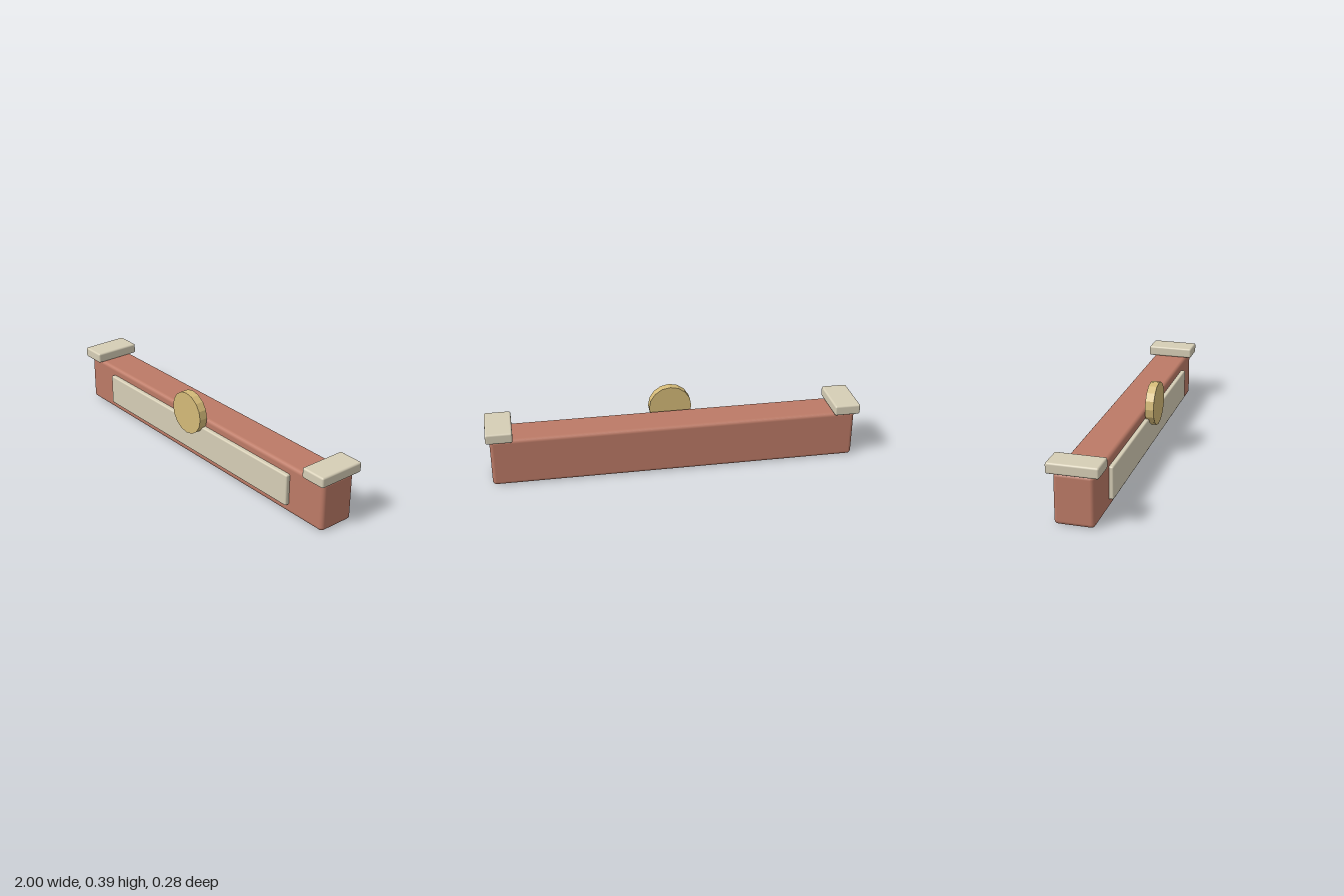
import * as THREE from 'three';
import { RoundedBoxGeometry } from 'three/addons/geometries/RoundedBoxGeometry.js';

const terracotta = new THREE.MeshStandardMaterial({ color: 0xbc7a66 });
const cream = new THREE.MeshStandardMaterial({ color: 0xd6ceb6 });
const gold = new THREE.MeshStandardMaterial({ color: 0xd4ba78, flatShading: true });

// Rounded box given by its [min, max] extent on each axis
function block(name, [x0, x1], [y0, y1], [z0, z1], radius, material) {
  const geometry = new RoundedBoxGeometry(x1 - x0, y1 - y0, z1 - z0, 2, radius);
  const mesh = new THREE.Mesh(geometry, material);
  mesh.name = name;
  mesh.position.set((x0 + x1) / 2, (y0 + y1) / 2, (z0 + z1) / 2);
  return mesh;
}

export function createModel() {
  const model = new THREE.Group();
  model.name = 'lintel';

  // Long main beam
  model.add(block('beam', [-0.98, 0.98], [0.003, 0.265], [-0.11, 0.09], 0.02, terracotta));

  // Raised panel on the front of the beam
  model.add(block('frontPanel', [-0.75, 0.75], [0.05, 0.221], [0.078, 0.113], 0.008, cream));

  // Overhanging cap on each end
  model.add(block('leftCap', [0.86, 1], [0.264, 0.32], [-0.139, 0.12], 0.01, cream));
  model.add(block('rightCap', [-1, -0.86], [0.264, 0.32], [-0.139, 0.12], 0.01, cream));

  // Round medallion standing at the middle of the front
  const medallion = new THREE.Mesh(new THREE.CylinderGeometry(0.116, 0.116, 0.046, 16), gold);
  medallion.name = 'medallion';
  medallion.rotation.x = Math.PI / 2;
  medallion.position.set(0, 0.279, 0.118);
  model.add(medallion);

  return model;
}
